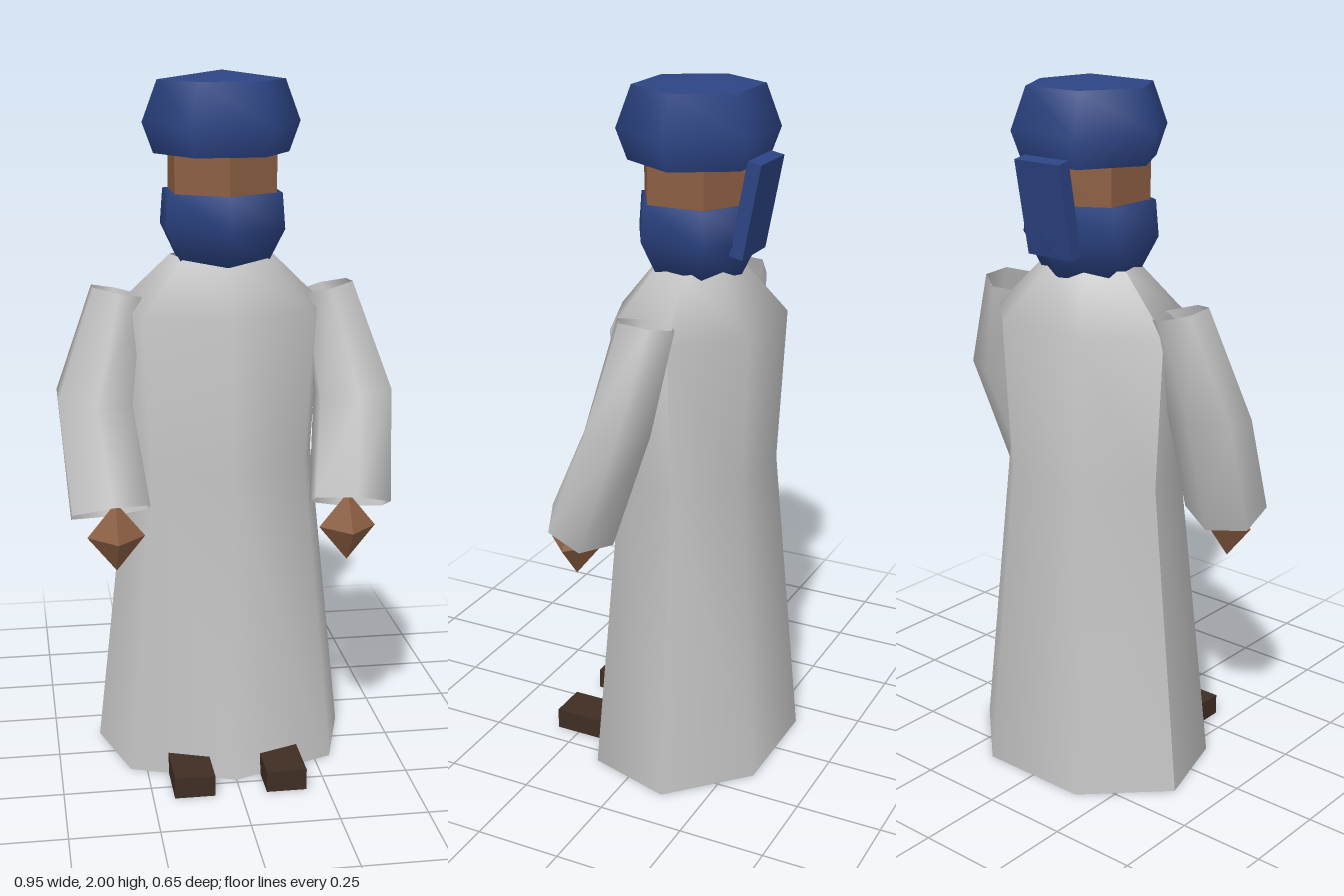
import * as THREE from 'three';

const CZ = -0.06; // body axis sits slightly behind the origin

const mat = (name, color, side = THREE.FrontSide) => {
  const m = new THREE.MeshStandardMaterial({ color, side });
  m.name = name;
  return m;
};

const part = (name, geometry, material, parent) => {
  const m = new THREE.Mesh(geometry, material);
  m.name = name;
  parent.add(m);
  return m;
};

// Faceted ring body around the vertical axis; profile is [radius, y] from bottom to top
const lathe = (profile, sides, start, length = Math.PI * 2, sx = 1, sz = 1) =>
  new THREE.LatheGeometry(profile.map(([r, y]) => new THREE.Vector2(r, y)), sides, start, length)
    .scale(sx, 1, sz).translate(0, 0, CZ);

// Open six-sided tube through tilted elliptical rings, listed from bottom to top
const sleeveGeometry = (rings) => {
  const n = 6, pos = [], idx = [];
  for (const { c, rx, rz, tiltX, tiltZ } of rings)
    for (let i = 0; i < n; i++) {
      const a = (i / n) * Math.PI * 2, s = Math.sin(a), k = Math.cos(a);
      pos.push(c[0] + rx * s, c[1] + tiltX * s + tiltZ * k, c[2] + rz * k);
    }
  for (let j = 0; j < rings.length - 1; j++)
    for (let i = 0; i < n; i++) {
      const a = j * n + i, b = j * n + (i + 1) % n;
      idx.push(a, b, b + n, a, b + n, a + n);
    }
  const g = new THREE.BufferGeometry();
  g.setAttribute('position', new THREE.Float32BufferAttribute(pos, 3));
  g.setIndex(idx);
  g.computeVertexNormals();
  return g;
};

export function createModel() {
  const model = new THREE.Group();
  model.name = 'robedFigure';

  const cloth = mat('robeGrey', 0xc4c4c4, THREE.DoubleSide);
  const blue = mat('scarfBlue', 0x2c4484, THREE.DoubleSide);
  const skin = mat('skinBrown', 0x8b5e42);
  skin.flatShading = true;
  const leather = mat('shoeBrown', 0x3f2d23, THREE.DoubleSide);

  // Robe: seven-sided, open at the hem, with a sharp seam down each side
  const robe = new THREE.Group();
  robe.name = 'robe';
  model.add(robe);
  const robeProfile = [[0.38, 0], [0.28, 0.9], [0.307, 1.34], [0.15, 1.49]];
  const step = Math.PI * 2 / 7;
  for (const [name, from, count] of [['robeFront', -2, 4], ['robeBack', 2, 3]]) {
    const g = lathe(robeProfile, count, from * step, count * step, 1, 0.776);
    g.computeVertexNormals();
    part(name, g, cloth, robe);
  }

  // Head: face band between the mask and the turban
  const head = new THREE.Group();
  head.name = 'head';
  model.add(head);
  part('face', lathe([[0.165, 1.6], [0.165, 1.82]], 6, 0), skin, head);
  part('faceScarf', lathe([[0, 1.455], [0.132, 1.47], [0.182, 1.57], [0.174, 1.67], [0.15, 1.67]],
    6, 0, Math.PI * 2, 1.05, 1), blue, head);

  // Turban: wall, shallow crown and underside kept apart for crisp rims
  const turban = new THREE.Group();
  turban.name = 'turban';
  head.add(turban);
  const hex = Math.PI / 6;
  part('turbanWrap', lathe([[0.192, 1.775], [0.223, 1.86], [0.18, 1.975]], 6, hex), blue, turban);
  part('turbanCrown', lathe([[0.18, 1.975], [0, 2]], 6, hex), blue, turban);
  part('turbanUnderside', lathe([[0, 1.776], [0.192, 1.775]], 6, hex), blue, turban);

  // Scarf tail hanging behind the head
  const tail = part('scarfTail', new THREE.BoxGeometry(0.155, 0.265, 0.04), blue, head);
  tail.position.set(0, 1.665, -0.232);
  tail.rotation.x = -0.19;

  // Arms and shoes, mirrored by sign
  for (const s of [1, -1]) {
    const side = s > 0 ? 'left' : 'right';
    const rings = [
      { c: [0.343 * s, 0.797, 0.128], rx: 0.125, rz: 0.095, tiltX: -0.012 * s, tiltZ: 0.043 },
      { c: [0.373 * s, 1.1, 0], rx: 0.12, rz: 0.1, tiltX: 0.012 * s, tiltZ: -0.01 },
      { c: [0.302 * s, 1.394, -0.052], rx: 0.078, rz: 0.085, tiltX: 0.017 * s, tiltZ: 0.006 },
    ];
    part(side + 'Sleeve', sleeveGeometry(rings), cloth, model);

    const hand = part(side + 'Hand', new THREE.OctahedronGeometry(1), skin, model);
    hand.scale.set(0.081, 0.1, 0.08);
    hand.position.set(0.33 * s, 0.735, 0.158);

    // Shoe: a box without its sole
    const shoeGeometry = new THREE.BoxGeometry(0.115, 0.062, 0.22);
    const index = Array.from(shoeGeometry.index.array);
    index.splice(18, 6);
    shoeGeometry.setIndex(index);
    shoeGeometry.clearGroups();
    part(side + 'Shoe', shoeGeometry, leather, model).position.set(0.132 * s, 0.031, 0.21);
  }

  return model;
}
